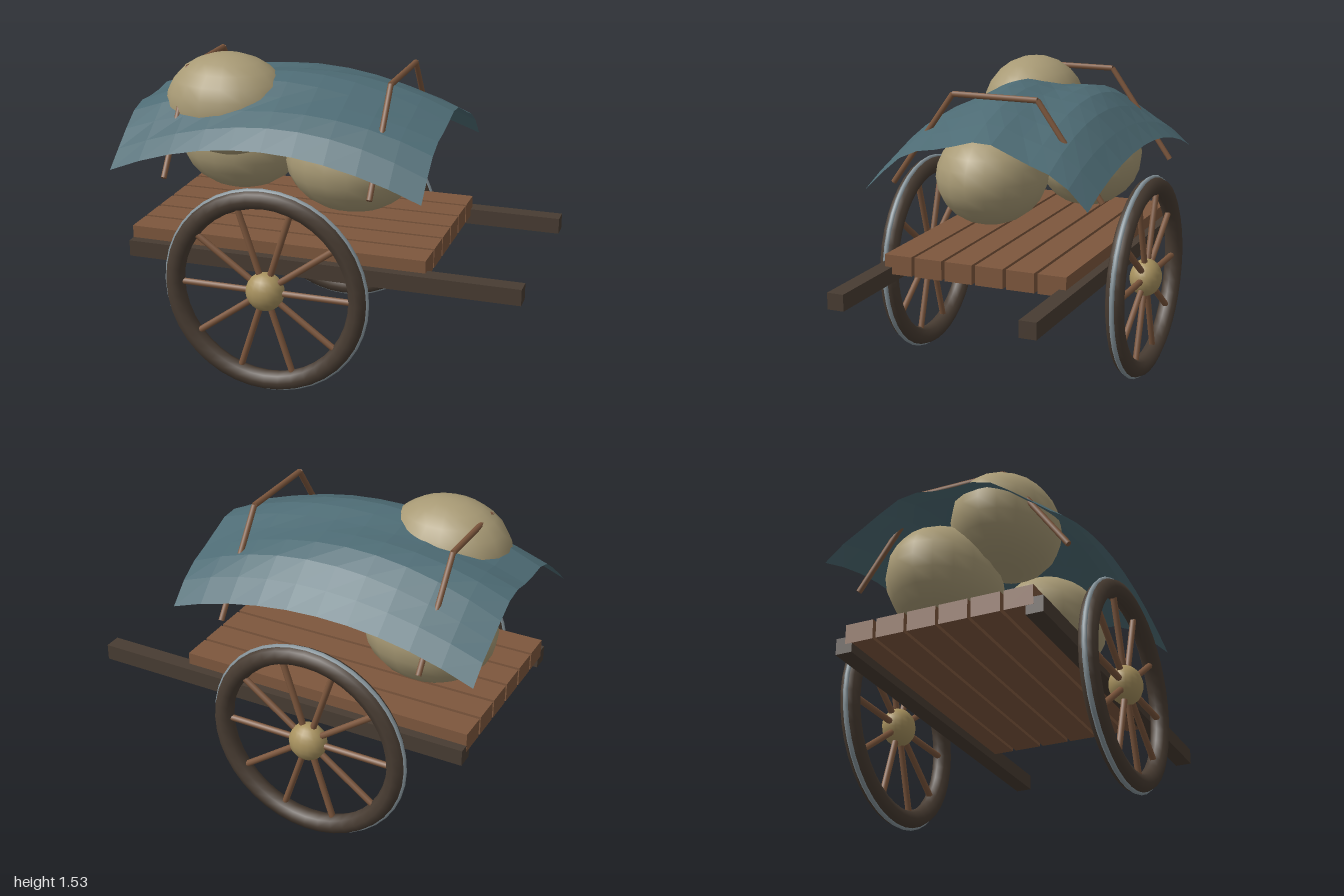
import * as THREE from 'three';

const mat = (color, extra = {}) => new THREE.MeshStandardMaterial({ color, ...extra });
const wood = mat(0x7d573d);
const darkWood = mat(0x483c32);
const iron = mat(0x87959c);
const brass = mat(0xa8925f);
const sackCloth = mat(0xa89a75);
const canvasCloth = mat(0x4d6b74, { flatShading: true, side: THREE.DoubleSide });

function add(parent, name, geometry, material, x = 0, y = 0, z = 0) {
  const mesh = new THREE.Mesh(geometry, material);
  mesh.name = name;
  mesh.position.set(x, y, z);
  parent.add(mesh);
  return mesh;
}

// Round pole between two points
function pole(parent, name, a, b, radius) {
  const dir = b.clone().sub(a);
  const mesh = add(parent, name, new THREE.CylinderGeometry(radius, radius, dir.length(), 8), wood);
  mesh.position.copy(a).add(b).multiplyScalar(0.5);
  mesh.quaternion.setFromUnitVectors(new THREE.Vector3(0, 1, 0), dir.normalize());
}

function makeWheel(name) {
  const wheel = new THREE.Group();
  wheel.name = name;
  add(wheel, 'rim', new THREE.TorusGeometry(0.46, 0.048, 8, 40), darkWood);
  add(wheel, 'ironTyre', new THREE.TorusGeometry(0.5, 0.014, 6, 40), iron);
  add(wheel, 'hub', new THREE.SphereGeometry(0.095, 16, 12), brass).scale.z = 0.84;
  for (let i = 0; i < 10; i++) {
    const a = (i * Math.PI) / 5;
    pole(wheel, 'spoke', new THREE.Vector3(),
      new THREE.Vector3(Math.cos(a) * 0.44, Math.sin(a) * 0.44, 0), 0.016);
  }
  return wheel;
}

// Arched cover, sagging to all four edges, with slanting ripples
function makeCanvas() {
  const geo = new THREE.PlaneGeometry(1.54, 1.134, 10, 12).rotateX(-Math.PI / 2);
  const p = geo.attributes.position;
  for (let i = 0; i < p.count; i++) {
    const u = p.getX(i) / 0.77;
    const v = p.getZ(i) / 0.567;
    const ripple = 0.017 * Math.sin(15 * p.getZ(i) + 3 * p.getX(i)) * (1 - 0.6 * v * v);
    p.setY(i, 1.445 - 0.16 * u * u - 0.26 * Math.pow(Math.abs(v), 2.2) + ripple);
  }
  geo.computeVertexNormals();
  return geo;
}

export function createModel() {
  const cart = new THREE.Group();
  cart.name = 'cart';

  // Bed planks
  for (let i = 0; i < 6; i++) {
    add(cart, 'plank', new THREE.BoxGeometry(1.485, 0.096, 0.142), wood,
      -0.203, 0.663, (i - 2.5) * 0.1585);
  }

  // Shafts and wheels on both sides
  for (const side of [-1, 1]) {
    add(cart, 'shaft', new THREE.BoxGeometry(1.945, 0.08, 0.083), darkWood, 0.0275, 0.61, side * 0.473);
    const wheel = makeWheel(side > 0 ? 'frontWheel' : 'backWheel');
    wheel.position.set(-0.203, 0.515, side * 0.602);
    cart.add(wheel);
  }

  // Sacks: centre, then radii
  const sacks = [
    [0.07, 1.04, 0.11, 0.328, 0.248, 0.27],
    [-0.605, 1.02, -0.145, 0.325, 0.262, 0.27],
    [-0.55, 1.283, 0.15, 0.315, 0.252, 0.255],
  ];
  for (const [x, y, z, rx, ry, rz] of sacks) {
    add(cart, 'sack', new THREE.SphereGeometry(1, 18, 12), sackCloth, x, y, z).scale.set(rx, ry, rz);
  }

  // Bows holding the cover
  for (const x of [-0.73, 0.29]) {
    const bow = new THREE.Group();
    bow.name = 'bow';
    const pts = [[1.005, 0.545], [1.465, 0.218], [1.465, -0.218], [1.005, -0.545]]
      .map(([y, z]) => new THREE.Vector3(x, y, z));
    for (let i = 0; i < 3; i++) pole(bow, 'bowPole', pts[i], pts[i + 1], 0.0145);
    cart.add(bow);
  }

  add(cart, 'canvasCover', makeCanvas(), canvasCloth, -0.23, 0, 0);
  return cart;
}
